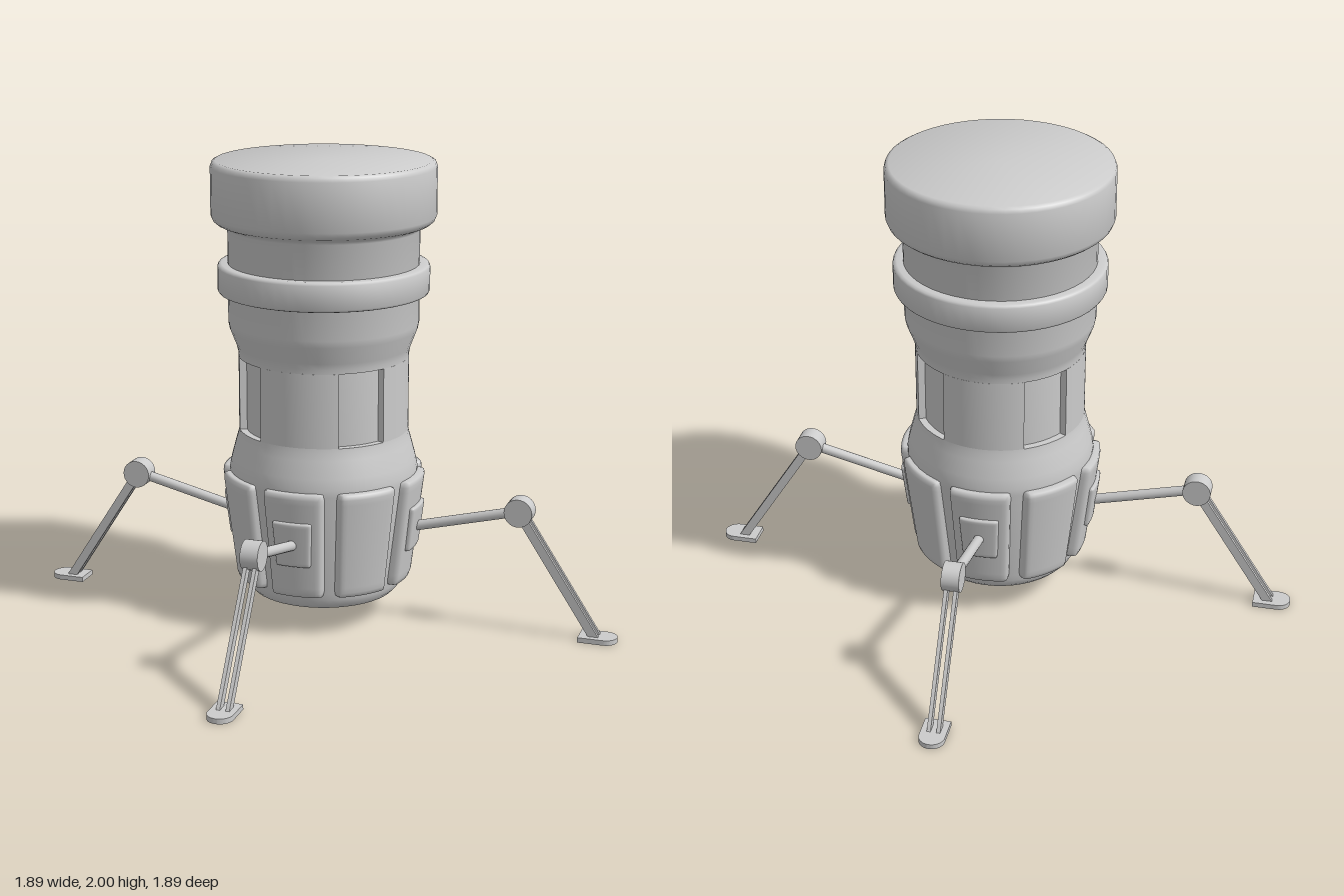
import * as THREE from 'three';
import { mergeVertices, toCreasedNormals } from 'three/addons/utils/BufferGeometryUtils.js';

const grey = new THREE.MeshStandardMaterial({ color: 0xcccccc });
const clamp = THREE.MathUtils.clamp, lerp = THREE.MathUtils.lerp;

function part(name, geometry, parent) {
  const mesh = new THREE.Mesh(geometry, grey);
  mesh.name = name;
  parent.add(mesh);
  return mesh;
}

function lathe(points) {
  return toCreasedNormals(new THREE.LatheGeometry(points.map(([r, y]) => new THREE.Vector2(r, y)), 48), 0.8);
}

// Round-edged plate wrapped around the body; each end is [y, half width, outer radius]
function bentPlate([y0, w0, r0], [y1, w1, r1], depth, round) {
  const half = [w1, (y1 - y0) / 2, depth / 2];
  let geo = new THREE.BoxGeometry(2 * half[0], 2 * half[1], 2 * half[2], 16, 20, 4);
  geo.deleteAttribute('uv');
  geo.deleteAttribute('normal');
  geo = mergeVertices(geo);
  const pos = geo.attributes.position;
  const p = new THREE.Vector3(), inner = new THREE.Vector3();
  for (let i = 0; i < pos.count; i++) {
    p.fromBufferAttribute(pos, i);
    inner.set(...p.toArray().map((v, k) => clamp(v, round - half[k], half[k] - round)));
    p.sub(inner);
    if (p.length() > round) p.setLength(round);
    p.add(inner);
    const t = p.y / (2 * half[1]) + 0.5;
    const x = p.x * lerp(w0, w1, t) / w1;
    const r = lerp(r0, r1, t) + p.z - half[2];
    pos.setXYZ(i, x, lerp(y0, y1, t), Math.sqrt(r * r - x * x));
  }
  geo.computeVertexNormals();
  return geo;
}

// Round rod between two points
function rod(a, b, radius) {
  const dir = b.clone().sub(a);
  const geo = new THREE.CapsuleGeometry(radius, dir.length(), 6, 16);
  geo.applyQuaternion(new THREE.Quaternion().setFromUnitVectors(new THREE.Vector3(0, 1, 0), dir.normalize()));
  const mid = a.clone().add(b).multiplyScalar(0.5);
  return geo.translate(mid.x, mid.y, mid.z);
}

// Leg in the plane x = 0, reaching out along +z
function createLeg() {
  const leg = new THREE.Group();
  leg.name = 'leg';
  const hip = new THREE.Vector3(0, 0.43, 0.43);
  const knee = new THREE.Vector3(0, 0.54, 0.877);
  const ankle = new THREE.Vector3(0, 0.012, 1.22);
  part('upperStrut', rod(hip, knee, 0.022), leg);

  const joint = new THREE.CylinderGeometry(0.061, 0.061, 0.075, 32).rotateZ(Math.PI / 2);
  part('kneeJoint', joint.translate(0, knee.y, knee.z), leg);

  // Twin lower bars
  const d = ankle.clone().sub(knee);
  for (const side of [-1, 1]) {
    const bar = part('lowerBar', new THREE.BoxGeometry(0.016, d.length(), 0.038), leg);
    bar.position.copy(knee).addScaledVector(d, 0.5).setX(side * 0.02);
    bar.rotation.x = Math.atan2(d.z, d.y);
  }

  // Foot plate with a round toe
  const shape = new THREE.Shape();
  shape.moveTo(-0.054, 1.152);
  shape.lineTo(0.054, 1.152);
  shape.absarc(0, 1.26, 0.054, 0, Math.PI);
  shape.closePath();
  const foot = new THREE.ExtrudeGeometry(shape, { depth: 0.022, bevelEnabled: false, curveSegments: 16 });
  part('foot', toCreasedNormals(foot.rotateX(Math.PI / 2).translate(0, 0.022, 0), 0.6), leg);
  return leg;
}

export function createModel() {
  const model = new THREE.Group();
  model.name = 'lander';

  // Main hull, with a groove at the waist for the windows
  part('hull', lathe([
    [0, 0.11], [0.29, 0.11], [0.315, 0.117], [0.332, 0.135], [0.34, 0.16], [0.345, 0.19],
    [0.408, 0.64], [0.408, 0.67], [0.398, 0.715], [0.378, 0.79], [0.369, 0.82], [0.366, 0.84],
    [0.335, 0.84], [0.335, 1.16], [0.366, 1.16], [0.367, 1.18], [0.373, 1.205],
    [0.402, 1.28], [0.408, 1.31], [0.408, 1.71], [0.414, 1.722], [0.455, 1.738],
    [0.47, 1.75], [0.478, 1.77], [0.478, 1.975], [0.472, 1.992], [0.458, 2], [0, 2],
  ]), model);

  part('collar', lathe([
    [0.4, 1.437], [0.435, 1.437], [0.447, 1.441], [0.452, 1.45],
    [0.452, 1.55], [0.447, 1.559], [0.435, 1.563], [0.4, 1.563],
  ]), model);

  // Wall sections between the four recessed windows
  const edge = Math.asin(0.105 / 0.366);
  const wall = new THREE.Shape();
  wall.absarc(0, 0, 0.366, edge, Math.PI / 2 - edge, false);
  wall.absarc(0, 0, 0.325, Math.PI / 2 - edge, edge, true);
  wall.closePath();
  const wallGeo = toCreasedNormals(new THREE.ExtrudeGeometry(wall, { depth: 0.32, bevelEnabled: false, curveSegments: 12 })
    .rotateX(-Math.PI / 2).translate(0, 0.84, 0), 0.6);
  for (let i = 0; i < 4; i++) part('waistWall', wallGeo, model).rotation.y = i * Math.PI / 2;

  // Eight tapered panels around the base
  const panelGeo = bentPlate([0.18, 0.111, 0.382], [0.657, 0.132, 0.442], 0.07, 0.016);
  for (let i = 0; i < 8; i++) part('basePanel', panelGeo, model).rotation.y = i * Math.PI / 4;

  // Leg mounts and legs on the diagonals
  const mountGeo = bentPlate([0.33, 0.075, 0.418], [0.53, 0.086, 0.443], 0.04, 0.008);
  for (let i = 0; i < 4; i++) {
    const angle = Math.PI / 4 + i * Math.PI / 2;
    part('legMount', mountGeo, model).rotation.y = angle;
    const leg = createLeg();
    leg.rotation.y = angle;
    model.add(leg);
  }
  return model;
}
